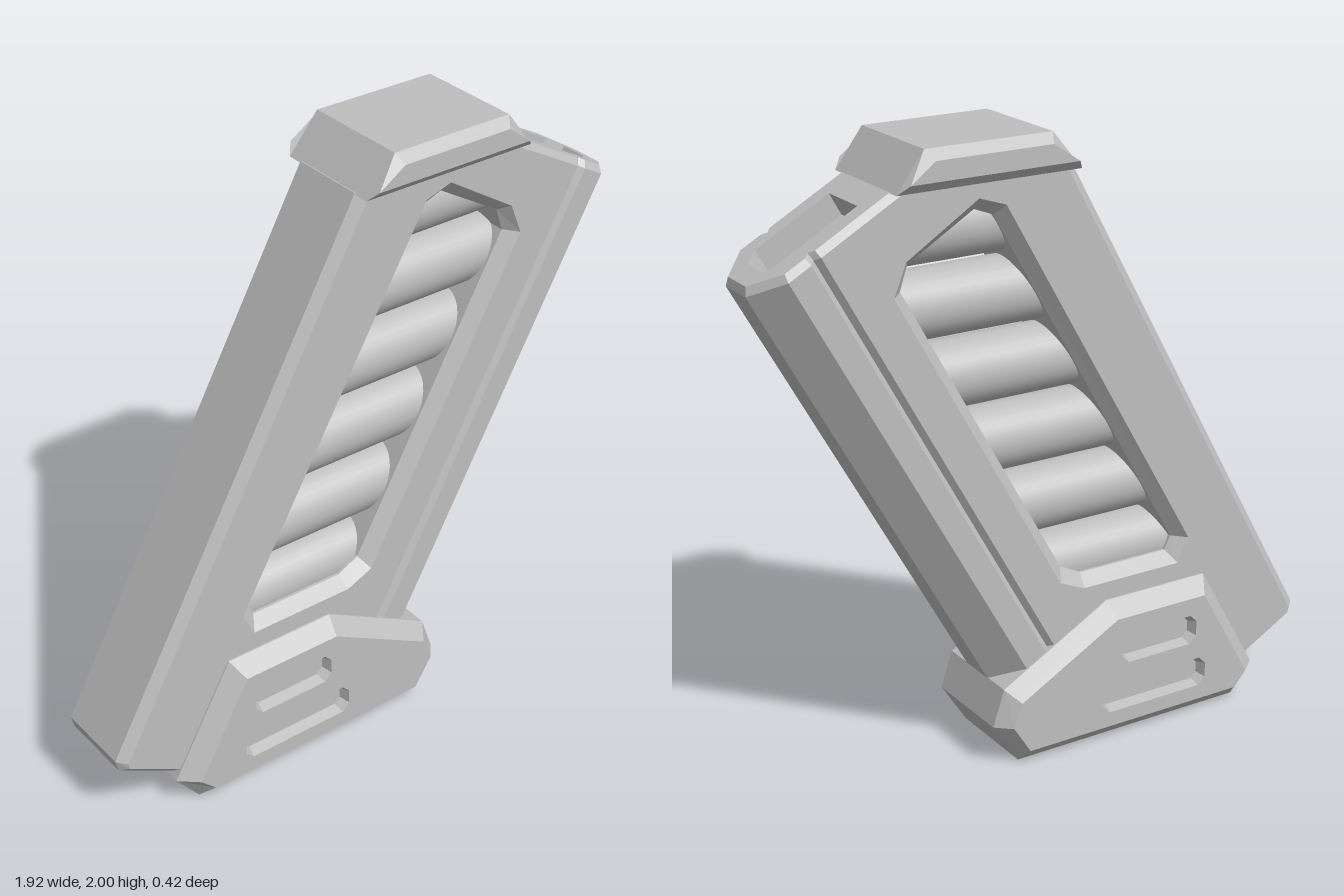
import * as THREE from 'three';

const steel = new THREE.MeshStandardMaterial({ color: 0xbebebe });
steel.name = 'grey steel';

const TILT = THREE.MathUtils.degToRad(-29);

// Stacks loops [points, z] into walls; counter-clockwise faces out, clockwise (holes) faces in
function walls(out, stack) {
  for (let k = 0; k + 1 < stack.length; k++) {
    const [lo, z0] = stack[k], [hi, z1] = stack[k + 1];
    lo.forEach((a, i) => {
      const j = (i + 1) % lo.length;
      const A = [...a, z0], B = [...lo[j], z0], C = [...hi[j], z1], D = [...hi[i], z1];
      out.push(...A, ...B, ...C, ...A, ...C, ...D);
    });
  }
}

// Flat face with optional holes, looking along +z or -z
function face(out, pts, z, up, holes = []) {
  const vec = (l) => l.map(([x, y]) => new THREE.Vector2(x, y));
  const shape = new THREE.Shape(vec(pts));
  holes.forEach((h) => shape.holes.push(new THREE.Path(vec(h))));
  const g = new THREE.ShapeGeometry(shape);
  const p = g.attributes.position, ix = g.index.array;
  for (let i = 0; i < ix.length; i += 3) {
    const tri = up ? [ix[i], ix[i + 1], ix[i + 2]] : [ix[i], ix[i + 2], ix[i + 1]];
    tri.forEach((v) => out.push(p.getX(v), p.getY(v), z));
  }
}

function mesh(name, out) {
  const g = new THREE.BufferGeometry();
  g.setAttribute('position', new THREE.Float32BufferAttribute(out, 3));
  g.computeVertexNormals();
  const m = new THREE.Mesh(g, steel);
  m.name = name;
  return m;
}

// Plate symmetric in z with a chamfer from the rim to the smaller face;
// holes: { outer, inner, depth, through }
function plate(name, rim, top, zRim, zFace, holes = []) {
  const out = [], outers = holes.map((h) => h.outer);
  walls(out, [[top, -zFace], [rim, -zRim], [rim, zRim], [top, zFace]]);
  face(out, top, zFace, true, outers);
  face(out, top, -zFace, false, outers);
  for (const { outer, inner, depth, through } of holes) {
    const z = zFace - depth;
    if (through) {
      walls(out, [[outer, -zFace], [inner, -z], [inner, z], [outer, zFace]]);
    } else {
      walls(out, [[inner, z], [outer, zFace]]);
      walls(out, [[outer, -zFace], [inner, -z]]);
      face(out, inner, z, true);
      face(out, inner, -z, false);
    }
  }
  return mesh(name, out);
}

// Clockwise rectangle with cut corners
function slot(x0, x1, y0, y1, c) {
  return [[x0, y0 + c], [x0, y1 - c], [x0 + c, y1], [x1 - c, y1],
    [x1, y1 - c], [x1, y0 + c], [x1 - c, y0], [x0 + c, y0]];
}

// Upright point to the tilted frame of the body
const tilted = ([x, y]) => [
  x * Math.cos(TILT) + y * Math.sin(TILT),
  -x * Math.sin(TILT) + y * Math.cos(TILT),
];

// Completes half a cross-section by mirroring it
const mirrored = (half) => [...half, ...half.map(([s, z]) => [s, -z]).reverse()];

export function createModel() {
  const model = new THREE.Group();
  model.name = 'magazine';

  // Tilted body
  const body = new THREE.Group();
  body.name = 'body';
  body.rotation.z = TILT;
  model.add(body);

  // Main casing with a bevelled window right through
  const rim = [[-0.938, -0.268], [-0.62, -0.268], [-0.165, 0.15], [-0.165, 1.83],
    [-0.45, 1.83], [-0.45, 1.905], [-0.966, 1.62], [-0.966, -0.238]];
  const front = [[-0.925, -0.245], [-0.62, -0.245], [-0.165, 0.15], [-0.165, 1.83],
    [-0.45, 1.83], [-0.45, 1.905], [-0.936, 1.635], [-0.936, -0.23]];
  const outer = [[0.18, 1.8], [0.27, 1.83], [0.51, 1.68], [0.55, 1.58],
    [-0.01, 0.57], [-0.1, 0.53], [-0.46, 0.53], [-0.5, 0.61]].map(tilted);
  const inner = [[0.2, 1.765], [0.265, 1.79], [0.485, 1.66], [0.51, 1.585],
    [-0.035, 0.605], [-0.11, 0.567], [-0.435, 0.567], [-0.457, 0.612]].map(tilted);
  body.add(plate('casing', rim, front, 0.128, 0.155,
    [{ outer, inner, depth: 0.04, through: true }]));

  // Chamfered spine with a groove down each side
  const spineHalf = [[-0.165, -0.155], [-0.1475, -0.137], [-0.13, -0.155],
    [-0.05, -0.155], [0.05, -0.063]];
  const spineLoop = mirrored(spineHalf);
  const spineOut = [];
  walls(spineOut, [[spineLoop, 0.2], [spineLoop, 1.83]]);
  face(spineOut, spineLoop, 0.2, false);
  face(spineOut, spineLoop, 1.83, true);
  const spine = mesh('spine', spineOut);
  spine.rotation.x = -Math.PI / 2;
  body.add(spine);

  // Upper end with a bevelled edge and a recess
  const endLoop = mirrored([[-0.45, -0.155], ...spineHalf]);
  const endTop = mirrored([[-0.45, -0.14], [-0.165, -0.14], [-0.1475, -0.125],
    [-0.13, -0.14], [-0.058, -0.14], [0.032, -0.057]]);
  const recess = [[-0.35, -0.085], [-0.35, 0.085], [-0.08, 0.085],
    [-0.03, 0.045], [-0.03, -0.045], [-0.08, -0.085]];
  const endOut = [];
  walls(endOut, [[endLoop, 1.83], [endLoop, 1.89], [endTop, 1.912]]);
  face(endOut, endTop, 1.912, true, [recess]);
  walls(endOut, [[recess, 1.835], [recess, 1.912]]);
  face(endOut, recess, 1.835, true);
  const end = mesh('upperEnd', endOut);
  end.rotation.x = -Math.PI / 2;
  body.add(end);

  // Stacked rounds seen through the window
  for (let i = 0; i < 6; i++) {
    const y = 0.58 + 0.23 * i, last = i === 5;
    const round = new THREE.Mesh(
      new THREE.CylinderGeometry(0.107, 0.107, last ? 0.46 : 0.64, 32), steel);
    round.name = 'round' + (i + 1);
    round.rotation.z = Math.PI / 2;
    round.position.set(last ? 0.29 : -0.255 + (y - 0.61) * 0.546, y, 0);
    model.add(round);
  }

  // Foot with two slots on each side
  model.add(plate('foot',
    [[-0.69, 0], [0.15, 0], [0.24, 0.14], [0.2, 0.26], [-0.18, 0.47], [-0.56, 0.47], [-0.77, 0.1]],
    [[-0.66, 0.05], [0.135, 0.05], [0.195, 0.145], [0.165, 0.225], [-0.19, 0.42], [-0.53, 0.42], [-0.71, 0.1]],
    0.16, 0.212,
    [[-0.5, -0.21, 0.26, 0.36], [-0.54, -0.14, 0.1, 0.2]].map(([a, b, c, d]) => ({
      outer: slot(a, b, c, d, 0.025),
      inner: slot(a + 0.012, b - 0.012, c + 0.012, d - 0.012, 0.02),
      depth: 0.035,
    }))));

  // Top cap
  model.add(plate('cap',
    [[-0.06, 1.88], [0.55, 1.88], [0.46, 2], [0.04, 2]],
    [[-0.035, 1.91], [0.52, 1.91], [0.44, 1.97], [0.055, 1.97]],
    0.18, 0.21));

  return model;
}
